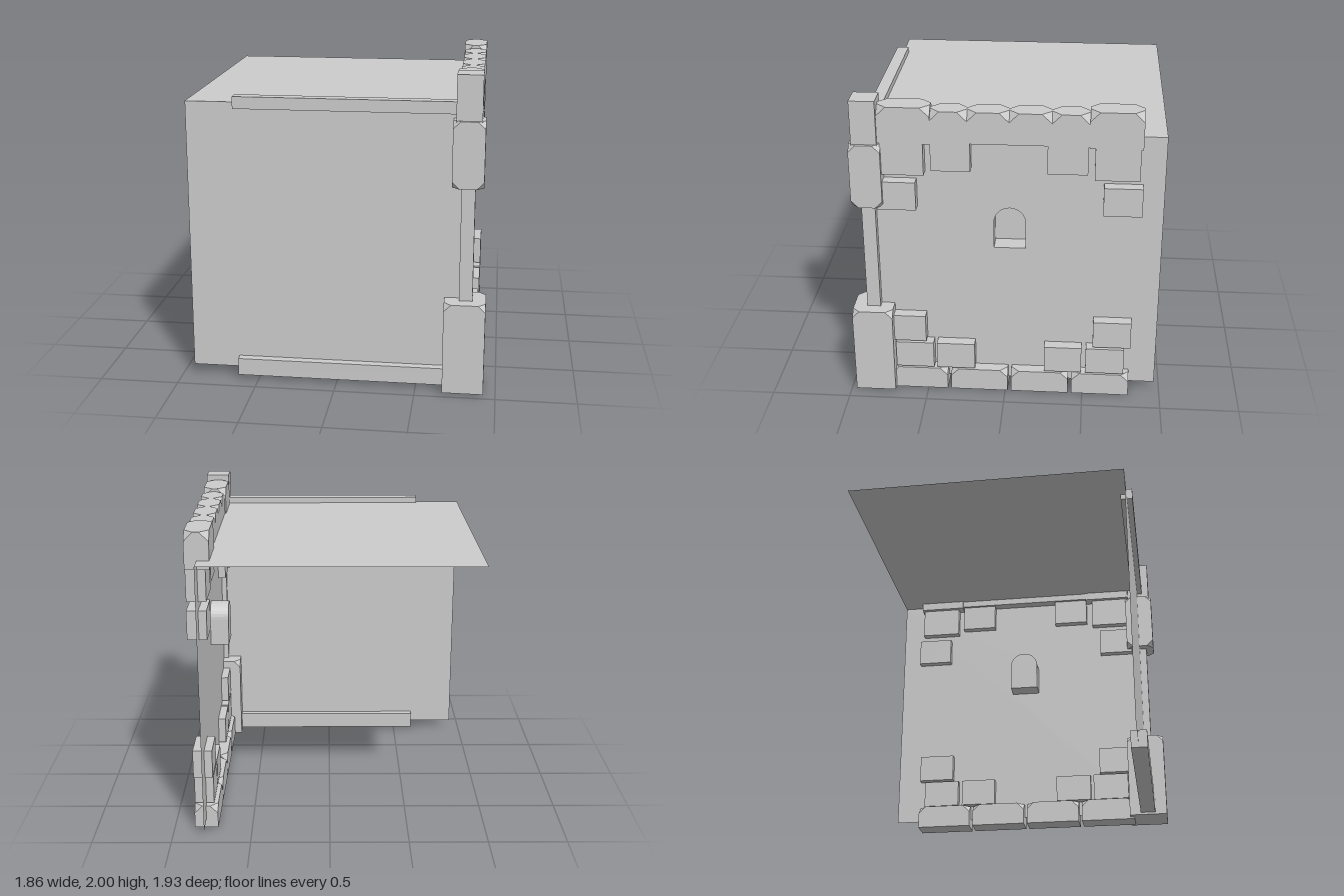
import * as THREE from 'three';
import { ConvexGeometry } from 'three/addons/geometries/ConvexGeometry.js';

const stone = new THREE.MeshStandardMaterial({ color: 0xcccccc, flatShading: true });
const sheet = new THREE.MeshStandardMaterial({ color: 0xcccccc, side: THREE.DoubleSide });

const WALL_X = 0.795, FRONT_Z = 0.83, LEFT_X = -0.93, BACK_Z = -0.965, BASE_Y = 0.065, ROOF_Y = 1.79;

export function createModel() {
  const model = new THREE.Group();

  function add(name, geometry, material = stone, parent = model) {
    const mesh = new THREE.Mesh(geometry, material);
    mesh.name = name;
    parent.add(mesh);
    return mesh;
  }

  function group(name) {
    const g = new THREE.Group();
    g.name = name;
    model.add(g);
    return g;
  }

  function box(name, [x0, x1], [y0, y1], [z0, z1], parent) {
    const mesh = add(name, new THREE.BoxGeometry(x1 - x0, y1 - y0, z1 - z0), stone, parent);
    mesh.position.set((x0 + x1) / 2, (y0 + y1) / 2, (z0 + z1) / 2);
  }

  // Box whose top (and optionally bottom) corners are sliced off
  function cutBox(name, xs, ys, zs, cut, cutBottom, parent) {
    const points = [];
    for (const i of [0, 1]) for (const j of [0, 1]) for (const k of [0, 1]) {
      const corner = new THREE.Vector3(xs[i], ys[j], zs[k]);
      if (j === 0 && !cutBottom) { points.push(corner); continue; }
      points.push(corner.clone().setX(xs[i] + (i ? -cut : cut)));
      points.push(corner.clone().setY(ys[j] + (j ? -cut : cut)));
      points.push(corner.clone().setZ(zs[k] + (k ? -cut : cut)));
    }
    add(name, new ConvexGeometry(points), stone, parent);
  }

  // Thin front wall and roof
  const width = WALL_X - LEFT_X, depth = FRONT_Z - BACK_Z, height = ROOF_Y - BASE_Y;
  add('frontWall', new THREE.PlaneGeometry(width, height), sheet)
    .position.set((WALL_X + LEFT_X) / 2, (ROOF_Y + BASE_Y) / 2, FRONT_Z);
  add('roof', new THREE.PlaneGeometry(width, depth).rotateX(-Math.PI / 2), sheet)
    .position.set((WALL_X + LEFT_X) / 2, ROOF_Y, (FRONT_Z + BACK_Z) / 2);

  // Arched window outline, drawn in the wall plane (u = -z, v = y)
  const arch = (Type) => {
    const p = new Type();
    p.moveTo(-0.07, 1.02);
    p.lineTo(0.125, 1.02);
    p.lineTo(0.125, 1.197);
    p.absarc(0.0275, 1.197, 0.0975, 0, Math.PI, false);
    p.closePath();
    return p;
  };

  // Side wall with the window opening
  const wall = new THREE.Shape([
    [-FRONT_Z, BASE_Y], [-BACK_Z, BASE_Y], [-BACK_Z, ROOF_Y], [-FRONT_Z, ROOF_Y],
  ].map(([u, v]) => new THREE.Vector2(u, v)));
  wall.holes.push(arch(THREE.Path));
  add('sideWall', new THREE.ShapeGeometry(wall, 8).rotateY(Math.PI / 2), sheet).position.x = WALL_X;

  // Window niche: back panel plus the reveal around it
  const nicheX = WALL_X - 0.12;
  const niche = group('windowNiche');
  add('nicheBack', new THREE.ShapeGeometry(arch(THREE.Shape), 8).rotateY(Math.PI / 2), sheet, niche).position.x = nicheX;
  const outline = arch(THREE.Path).getPoints(8);
  const reveal = [];
  outline.forEach((a, i) => {
    const b = outline[(i + 1) % outline.length];
    if (a.distanceTo(b) < 1e-5) return;
    const [a0, a1, b0, b1] = [[nicheX, a], [WALL_X, a], [nicheX, b], [WALL_X, b]].map(([x, p]) => [x, p.y, -p.x]);
    reveal.push(...a0, ...b0, ...b1, ...a0, ...b1, ...a1);
  });
  const revealGeometry = new THREE.BufferGeometry();
  revealGeometry.setAttribute('position', new THREE.Float32BufferAttribute(reveal, 3));
  revealGeometry.computeVertexNormals();
  add('nicheReveal', revealGeometry, sheet, niche);

  // Long trims along the front wall
  box('upperTrim', [-0.63, 0.74], [1.755, 1.83], [0.79, 0.867]);
  box('lowerTrim', [-0.63, 0.7], [0.03, 0.14], [0.785, 0.885]);

  // Corner pillar
  const pillar = group('cornerPillar');
  cutBox('pillarBase', [0.67, 0.925], [0.015, 0.595], [0.71, 0.965], 0.045, false, pillar);
  box('pillarShaft', [0.76, 0.843], [0.55, 1.35], [0.795, 0.88], pillar);
  cutBox('pillarCapital', [0.703, 0.895], [1.315, 1.725], [0.74, 0.932], 0.045, true, pillar);
  box('pillarTop', [0.72, 0.875], [1.7, 2], [0.76, 0.915], pillar);

  // Coping stones along the top of the side wall
  const coping = group('copingStones');
  [[0.44, 0.758, 1.965], [0.22, 0.44, 1.945], [-0.03, 0.22, 1.945],
    [-0.282, -0.03, 1.945], [-0.505, -0.282, 1.945], [-0.822, -0.505, 1.965]].forEach(([z0, z1, top]) => {
    const end = top > 1.95;
    cutBox('copingStone', [end ? 0.718 : 0.727, 0.87], [end ? 1.735 : 1.745, top], [z0, z1], 0.058, false, coping);
  });

  // Foundation stones along the bottom
  const foundation = group('foundationStones');
  for (let i = 0; i < 4; i++) {
    const z = 0.74 - i * 0.39;
    cutBox('foundationStone', [0.72, 0.87], [0.004, 0.155], [z - 0.367, z], 0.05, false, foundation);
  }

  // Loose bricks showing through both faces of the side wall
  const bricks = group('bricks');
  [
    { y: [1.53, 1.737], zs: [[0.486, 0.745], [-0.81, -0.54]] },
    { y: [1.563, 1.745], zs: [[0.204, 0.443], [-0.5, -0.258]] },
    { y: [1.295, 1.48], zs: [[0.54, 0.775], [-0.833, -0.598]] },
    { y: [0.36, 0.542], zs: [[0.506, 0.74], [-0.8, -0.56]] },
    { y: [0.165, 0.345], zs: [[0.46, 0.704], [0.195, 0.438], [-0.49, -0.252], [-0.762, -0.518]] },
  ].forEach(({ y, zs }) => zs.forEach((z) => box('brick', [0.745, 0.868], y, z, bricks)));

  return model;
}
